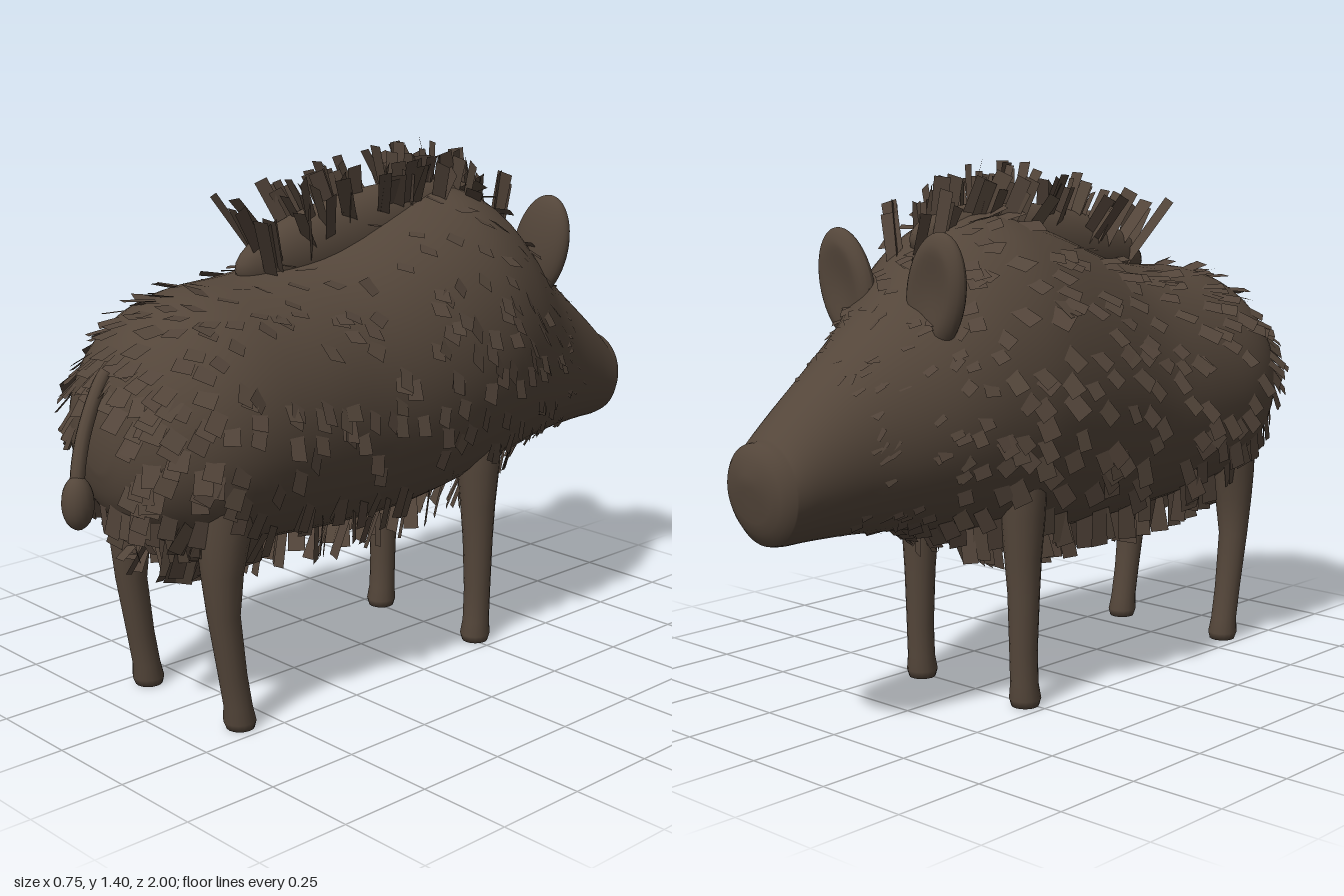
import * as THREE from 'three';

// Body stations from rump to snout: z, top y, bottom y, half width
const STATIONS = [
  [0.865, 0.80, 0.68, 0.05], [0.84, 0.90, 0.60, 0.14], [0.79, 0.98, 0.53, 0.22], [0.70, 1.05, 0.47, 0.285],
  [0.58, 1.09, 0.435, 0.32], [0.40, 1.105, 0.42, 0.325], [0.20, 1.14, 0.405, 0.32], [0.0, 1.21, 0.405, 0.335],
  [-0.15, 1.255, 0.42, 0.342], [-0.28, 1.27, 0.44, 0.335], [-0.40, 1.23, 0.46, 0.305], [-0.50, 1.145, 0.475, 0.268],
  [-0.60, 1.045, 0.49, 0.225], [-0.72, 0.952, 0.50, 0.178], [-0.85, 0.85, 0.505, 0.143], [-0.92, 0.79, 0.505, 0.128],
  [-0.95, 0.76, 0.51, 0.122],
];

// Smooth interpolation along the stations, t in 0..1
function station(t) {
  const n = STATIONS.length - 1, f = Math.min(Math.max(t, 0), 1) * n;
  const i = Math.min(Math.floor(f), n - 1), u = f - i;
  const at = k => STATIONS[Math.min(Math.max(k, 0), n)];
  return [0, 1, 2, 3].map(k => {
    const [a, b, c, d] = [at(i - 1)[k], at(i)[k], at(i + 1)[k], at(i + 2)[k]];
    return b + 0.5 * u * (c - a + u * (2 * a - 5 * b + 4 * c - d + u * (3 * (b - c) + d - a)));
  });
}

function bodyPoint(t, a) {
  const [z, top, bottom, w] = station(t);
  return new THREE.Vector3(Math.cos(a) * w, (top + bottom) / 2 + Math.sin(a) * (top - bottom) / 2, z);
}

function bodyNormal(t, a) {
  const along = bodyPoint(t + 0.004, a).sub(bodyPoint(t - 0.004, a));
  const around = bodyPoint(t, a + 0.01).sub(bodyPoint(t, a - 0.01));
  return around.cross(along).negate().normalize();
}

// Closed skin through rings of points, with a centre point at each end
function loft(rings, first, last) {
  const n = rings[0].length, pos = [], idx = [];
  rings.forEach(r => r.forEach(p => pos.push(p.x, p.y, p.z)));
  const a = rings.length * n, b = a + 1, end = (rings.length - 1) * n;
  pos.push(...first.toArray(), ...last.toArray());
  for (let j = 0; j < n; j++) {
    const k = (j + 1) % n;
    for (let i = 0; i < rings.length - 1; i++) {
      const p = i * n + j, q = i * n + k;
      idx.push(p, p + n, q, q, p + n, q + n);
    }
    idx.push(a, j, k, b, end + k, end + j);
  }
  const g = new THREE.BufferGeometry();
  g.setAttribute('position', new THREE.Float32BufferAttribute(pos, 3));
  g.setIndex(idx);
  g.computeVertexNormals();
  return g;
}

// Rings ordered from high to low: y, x, z, radius
function limb(levels, side, sides = 16) {
  const rings = levels.map(([y, x, z, r]) => Array.from({ length: sides }, (_, j) => {
    const a = -j / sides * Math.PI * 2;
    return new THREE.Vector3(side * x + Math.cos(a) * r, y, z + Math.sin(a) * r);
  }));
  const centre = ([y, x, z]) => new THREE.Vector3(side * x, y, z);
  return loft(rings, centre(levels[0]), centre(levels[levels.length - 1]));
}

export function createModel() {
  const model = new THREE.Group();
  model.name = 'wildBoar';
  const hide = new THREE.MeshStandardMaterial({ color: 0x54463a });
  hide.name = 'brown hide';
  const bristle = new THREE.MeshStandardMaterial({ color: 0x53453a, side: THREE.DoubleSide });
  bristle.name = 'brown bristle';
  const add = (name, geometry, material = hide) => {
    const m = new THREE.Mesh(geometry, material);
    m.name = name;
    model.add(m);
    return m;
  };
  let seed = 7;
  const rand = () => (seed = (seed * 16807) % 2147483647) / 2147483647;
  const spread = s => (rand() * 2 - 1) * s;
  const clamp01 = v => THREE.MathUtils.clamp(v, 0, 1);

  // Body and head in one skin, closed by a domed snout disc
  const rings = [];
  for (let i = 0; i <= 64; i++) {
    rings.push(Array.from({ length: 48 }, (_, j) => bodyPoint(i / 64, j / 48 * Math.PI * 2)));
  }
  const rim = rings[rings.length - 1];
  for (const [s, z] of [[0.93, -0.967], [0.8, -0.98], [0.6, -0.989], [0.3, -0.997]]) {
    rings.push(rim.map(p => new THREE.Vector3(p.x * s, 0.655 + (p.y - 0.65) * s, z - (p.y - 0.635) * 0.05)));
  }
  add('bodyAndHead', loft(rings, new THREE.Vector3(0, 0.74, 0.87), new THREE.Vector3(0, 0.655, -0.999)));

  // Raised ridge along the shoulders
  const ridge = add('shoulderRidge', new THREE.SphereGeometry(1, 32, 20));
  ridge.scale.set(0.09, 0.125, 0.45);
  ridge.position.set(0, 1.16, -0.02);
  ridge.rotation.x = 0.11;

  // Legs and cupped ears, mirrored
  for (const s of [1, -1]) {
    const side = s > 0 ? 'left' : 'right';
    add(side + 'FrontLeg', limb([[0.7, 0.19, -0.27, 0.06], [0.58, 0.19, -0.268, 0.063], [0.5, 0.19, -0.267, 0.058], [0.4, 0.19, -0.267, 0.049],
      [0.3, 0.192, -0.267, 0.042], [0.15, 0.192, -0.268, 0.037], [0.06, 0.192, -0.265, 0.037], [0.02, 0.192, -0.262, 0.042], [0, 0.192, -0.262, 0.036]], s));
    add(side + 'HindLeg', limb([[0.72, 0.18, 0.62, 0.075], [0.6, 0.182, 0.625, 0.078], [0.5, 0.187, 0.635, 0.067], [0.42, 0.19, 0.643, 0.054],
      [0.31, 0.192, 0.642, 0.042], [0.15, 0.192, 0.618, 0.037], [0.06, 0.192, 0.602, 0.037], [0.02, 0.192, 0.597, 0.042], [0, 0.192, 0.595, 0.036]], s));
    const g = new THREE.SphereGeometry(1, 32, 24), p = g.attributes.position;
    for (let i = 0; i < p.count; i++) {
      const r = Math.hypot(p.getX(i), p.getY(i));
      if (p.getZ(i) < 0) p.setZ(i, p.getZ(i) * (r > 0.75 ? 1 : 0.45 + 0.55 * (r / 0.75) ** 2));
    }
    g.scale(0.093, 0.15, 0.04);
    g.computeVertexNormals();
    const ear = add(side + 'Ear', g);
    ear.position.set(s * 0.16, 1.088, -0.54);
    ear.rotation.set(-0.05, 0, -s * 0.25);
  }

  // Thin tail ending in a tuft
  const tail = new THREE.CatmullRomCurve3([[-0.01, 0.93, 0.81], [0.005, 0.9, 0.85], [0.03, 0.79, 0.92],
    [0.05, 0.70, 0.955], [0.055, 0.65, 0.96]].map(p => new THREE.Vector3(...p)));
  add('tail', new THREE.TubeGeometry(tail, 16, 0.018, 10));
  const tuft = add('tailTuft', new THREE.SphereGeometry(1, 16, 12));
  tuft.scale.set(0.038, 0.066, 0.04);
  tuft.position.set(0.056, 0.636, 0.961);

  // Flat bristles collected into one geometry per coat
  const coat = (name, fill) => {
    const pos = [], idx = [];
    fill((root, dir, across, length, width) => {
      const k = pos.length / 3, w = across.clone().multiplyScalar(width / 2);
      const tip = root.clone().addScaledVector(dir, length);
      for (const [p, s] of [[root, -0.9], [root, 0.9], [tip, 1], [tip, -1]]) pos.push(...p.clone().addScaledVector(w, s).toArray());
      idx.push(k, k + 1, k + 2, k, k + 2, k + 3);
    });
    const g = new THREE.BufferGeometry();
    g.setAttribute('position', new THREE.Float32BufferAttribute(pos, 3));
    g.setIndex(idx);
    g.computeVertexNormals();
    add(name, g, bristle);
  };

  // Short coat swept back and down, hanging longer and looser under the belly
  coat('bodyFur', strip => {
    for (let i = 0; i < 760; i++) {
      const t = 0.06 + rand() * 0.78, a = rand() * Math.PI * 2;
      const root = bodyPoint(t, a), n = bodyNormal(t, a);
      const head = clamp01((-0.35 - root.z) / 0.3);
      const low = clamp01((0.66 - root.y) / 0.2) * (1 - head);
      const flow = new THREE.Vector3(spread(0.25), -0.8 + spread(0.2), 0.4 + spread(0.3));
      flow.addScaledVector(n, -flow.dot(n)).normalize();
      const dir = flow.clone().addScaledVector(n, 0.3 + rand() * 0.25 * (1 - head)).normalize();
      dir.lerp(new THREE.Vector3(spread(0.3), -1, spread(0.35)), low * 0.75).normalize();
      const across = new THREE.Vector3().crossVectors(n, flow).addScaledVector(n, spread(0.2));
      across.addScaledVector(dir, -across.dot(dir)).normalize();
      root.addScaledVector(n, -0.012);
      strip(root, dir, across, (0.07 + rand() * 0.02 + low * 0.03) * (1 - head * 0.45), (0.04 + rand() * 0.014) * (1 - head * 0.35));
    }
  });

  // Tall mane fanning out along the ridge
  coat('mane', strip => {
    for (let i = 0; i < 95; i++) {
      const z = 0.38 - 0.86 * Math.pow(rand(), 0.7), x = spread(0.06);
      const back = clamp01((z + 0.1) / 0.5), front = clamp01((-0.3 - z) / 0.18);
      const root = new THREE.Vector3(x, 1.235 - 0.13 * back - 0.08 * front - Math.abs(x) * 0.5, z);
      const dir = new THREE.Vector3(x * 9 + spread(0.15), 1, 0.2 + back * 0.55 + spread(0.2)).normalize();
      const yaw = rand() * Math.PI;
      const across = new THREE.Vector3(Math.cos(yaw), 0, Math.sin(yaw));
      across.addScaledVector(dir, -across.dot(dir)).normalize();
      strip(root, dir, across, 0.12 + rand() * 0.055 + back * 0.06, 0.034 + rand() * 0.012);
    }
  });
  return model;
}
